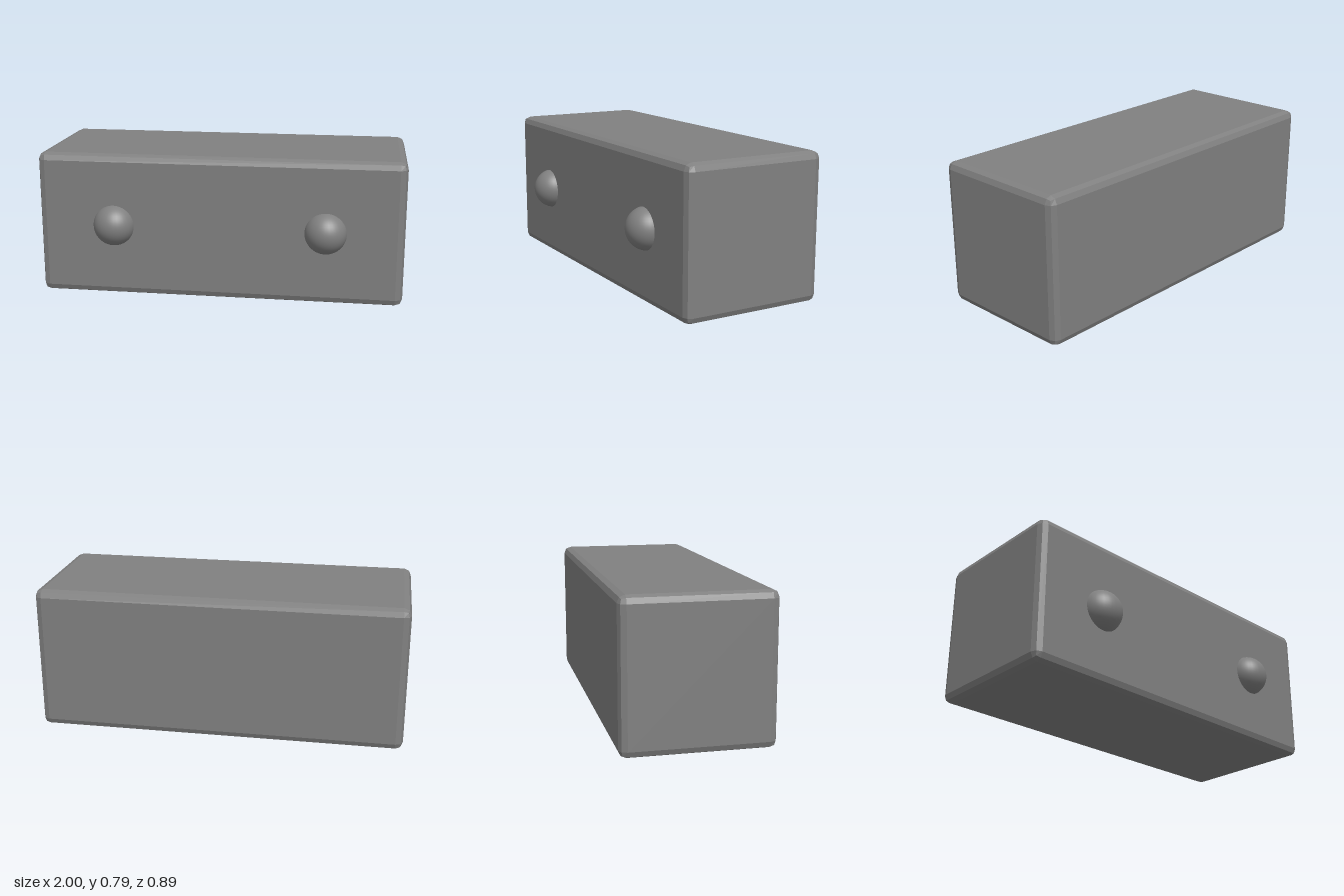
import * as THREE from 'three';

// Box whose edges carry a two-step bevel of the given radius
function beveledBox(w, h, d, radius) {
  const geo = new THREE.BoxGeometry(1, 1, 1, 3, 3, 3);
  const pos = geo.attributes.position;
  const half = new THREE.Vector3(w / 2 - radius, h / 2 - radius, d / 2 - radius);
  const p = new THREE.Vector3();
  const n = new THREE.Vector3();
  for (let i = 0; i < pos.count; i++) {
    p.fromBufferAttribute(pos, i);
    // outer grid lines lie on the bevel's middle, inner ones bound the flat face
    const outward = (v) => (Math.abs(v) > 0.4 ? Math.sign(v) : 0);
    n.set(outward(p.x), outward(p.y), outward(p.z)).normalize();
    pos.setXYZ(
      i,
      Math.sign(p.x) * half.x + n.x * radius,
      Math.sign(p.y) * half.y + n.y * radius,
      Math.sign(p.z) * half.z + n.z * radius
    );
  }
  geo.computeVertexNormals();
  return geo;
}

export function createModel() {
  const model = new THREE.Group();
  model.name = 'drawer';

  // Main block
  const bodyMaterial = new THREE.MeshStandardMaterial({ color: 0x808080, flatShading: true });
  const body = new THREE.Mesh(beveledBox(2, 0.793, 0.793, 0.04), bodyMaterial);
  body.name = 'body';
  body.position.set(0, 0.3965, -0.0465);
  model.add(body);

  // Pair of round knobs set into the front
  const knobMaterial = new THREE.MeshStandardMaterial({ color: 0x808080 });
  const knobGeometry = new THREE.SphereGeometry(0.115, 32, 24);
  for (const side of [-1, 1]) {
    const knob = new THREE.Mesh(knobGeometry, knobMaterial);
    knob.name = side > 0 ? 'leftKnob' : 'rightKnob';
    knob.position.set(side * 0.58, 0.398, 0.328);
    model.add(knob);
  }
  return model;
}
